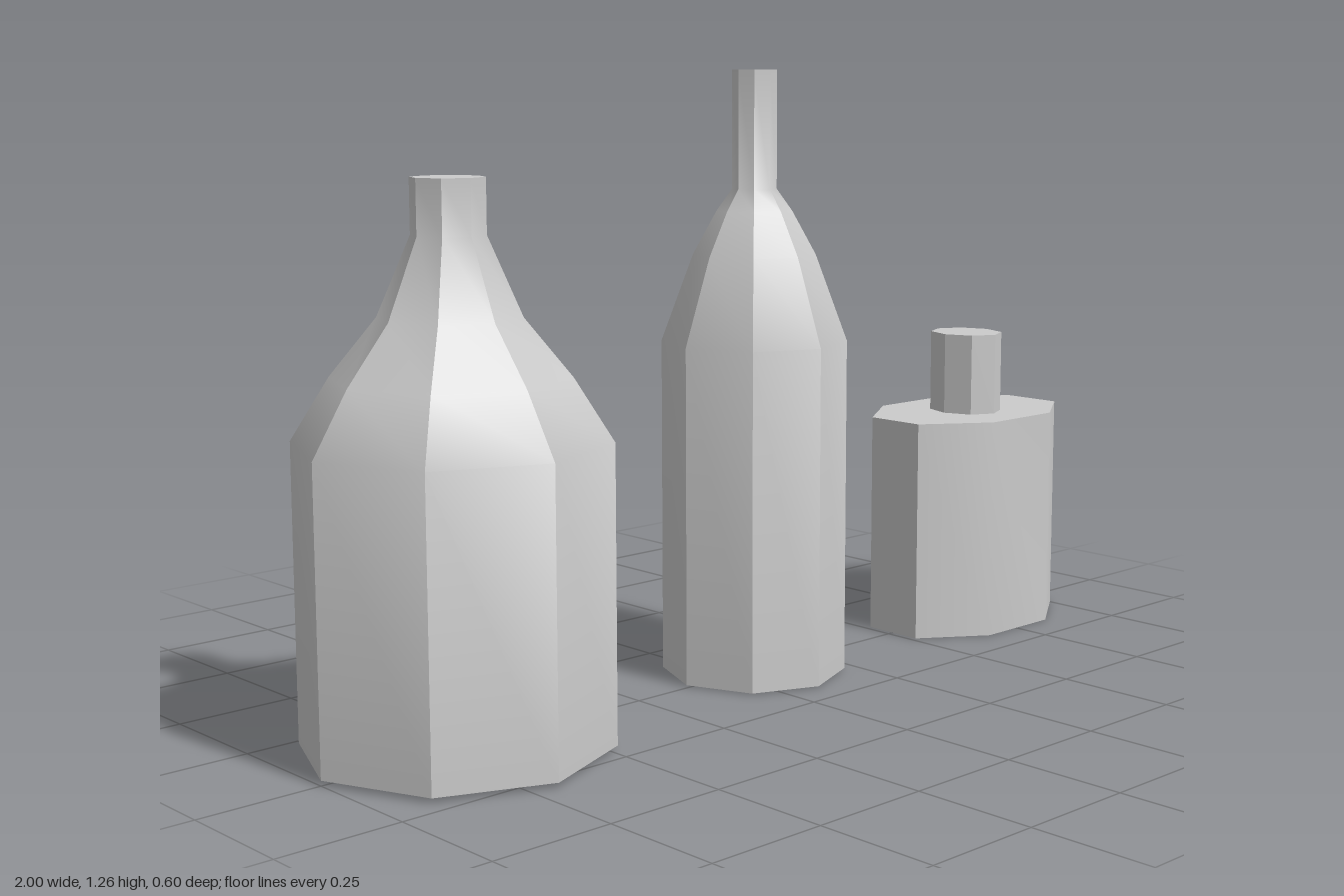
import * as THREE from 'three';
import { toCreasedNormals } from 'three/addons/utils/BufferGeometryUtils.js';

const material = new THREE.MeshStandardMaterial({ color: 0xcccccc });
const SIDES = 8;

// Eight-sided turned solid; profile is [radius, height] from bottom to top, closed on the axis
function turned(name, profile, x, z, { turn = 0, scaleX = 1, scaleZ = 1 } = {}) {
  const closed = [[0, profile[0][1]], ...profile, [0, profile.at(-1)[1]]];
  const points = closed.map(([r, y]) => new THREE.Vector2(r, y));
  const geometry = new THREE.LatheGeometry(points, SIDES, turn);
  geometry.scale(scaleX, 1, scaleZ);
  const mesh = new THREE.Mesh(toCreasedNormals(geometry, THREE.MathUtils.degToRad(35)), material);
  mesh.name = name;
  mesh.position.set(x, 0, z);
  return mesh;
}

export function createModel() {
  const group = new THREE.Group();
  group.name = 'bottles';

  // Wide bottle with sloping shoulders
  group.add(turned('wideBottle', [
    [0.3, 0.01], [0.3, 0.585], [0.225, 0.705], [0.135, 0.815], [0.07, 0.965], [0.07, 1.07],
  ], -0.7, 0));

  // Tall slim bottle with a long neck
  group.add(turned('tallBottle', [
    [0.193, 0.003], [0.193, 0.705], [0.127, 0.885], [0.078, 0.975], [0.046, 1.02], [0.046, 1.263],
  ], 0.08, -0.007));

  // Short flask: flattened octagonal body and a separate neck
  const flask = new THREE.Group();
  flask.name = 'shortFlask';
  const corner = 1 / Math.cos(Math.PI / SIDES); // radius that puts the flat sides at 1
  flask.add(
    turned('flaskBody', [[corner, 0], [corner, 0.487]], 0.757, 0,
      { turn: Math.PI / SIDES, scaleX: 0.243, scaleZ: 0.166 }),
    turned('flaskNeck', [[1, 0.487], [1, 0.668]], 0.755, 0, { scaleX: 0.074, scaleZ: 0.086 }),
  );
  group.add(flask);

  return group;
}
